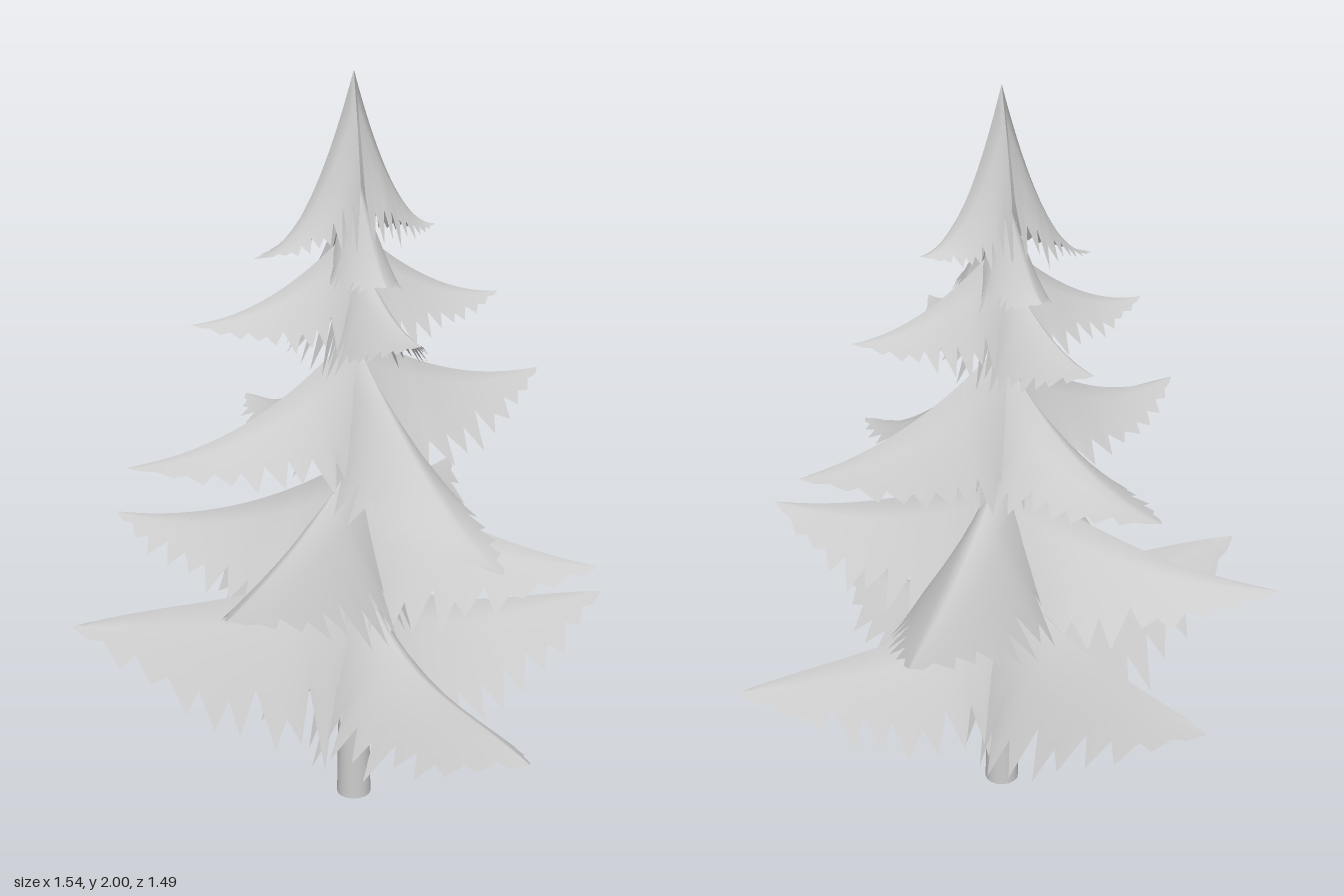
import * as THREE from 'three';

const bark = new THREE.MeshStandardMaterial({ color: 0xcccccc });
const needles = new THREE.MeshStandardMaterial({ color: 0xcccccc, side: THREE.DoubleSide });

// Small seeded generator for the ragged fringe
function seeded(seed) {
  let s = seed * 7919 + 17;
  return () => (s = (s * 16807) % 2147483647) / 2147483647;
}

// A tent-shaped bough: a ridge sweeps from the trunk to the tip, and two
// drooping sides end in a toothed fringe.
function boughGeometry({ apex, tip, low, width, bend, arch }, seed) {
  const rand = seeded(seed);
  const [tx, ty, tz] = tip;
  const length = Math.hypot(tx, tz);
  const dx = tx / length, dz = tz / length;
  const rows = 20, half = 4, cols = half * 2 + 1;
  const pos = [], index = [];
  for (let i = 0; i <= rows; i++) {
    const u = i / rows;
    const ridgeY = ty + (apex - ty) * (1 - u) ** bend + arch * Math.sin(Math.PI * u) * u;
    // fringe height eases from the low skirt at the trunk up to the tip
    const fringeY = low + (ty - low) * u ** 1.7;
    const w = width * (0.8 + 0.2 * Math.min(1, u * 4)) * (1 - u ** 2.6);
    const notch = [0, 1].map(() => (i % 2 ? 0.94 + rand() * 0.18 : 0.66 + rand() * 0.2));
    const lean = [0, 1].map(() => (i % 2 ? 0.05 : -0.01) * rand() * length * (1 - u));
    for (let j = -half; j <= half; j++) {
      const a = Math.abs(j) / half, side = j < 0 ? 0 : 1;
      const t = a * (1 - (1 - notch[side]) * a ** 3);
      const along = length * u + a * (0.03 * length * (1 - u) + a * lean[side]);
      const across = Math.sign(j) * w * t;
      const y = ridgeY + (fringeY - ridgeY) * t ** 1.15;
      pos.push(dx * along - dz * across, y, dz * along + dx * across);
    }
  }
  for (let i = 0; i < rows; i++) {
    for (let j = 0; j < cols - 1; j++) {
      const a = i * cols + j, b = a + 1, c = a + cols, d = c + 1;
      index.push(a, b, c, b, d, c);
    }
  }
  const geometry = new THREE.BufferGeometry();
  geometry.setAttribute('position', new THREE.Float32BufferAttribute(pos, 3));
  geometry.setIndex(index);
  geometry.computeVertexNormals();
  return geometry;
}

// Each whorl is a set of boughs sharing an apex on the trunk
const whorls = [
  { name: 'bottomSideBoughs', apex: 0.74, low: 0.25, width: 0.22, bend: 4, arch: 0.03,
    tips: [[0.77, 0.51, 0.0], [-0.77, 0.62, -0.01]] },
  { name: 'bottomFrontAndBackBoughs', apex: 0.73, low: 0.24, width: 0.22, bend: 4, arch: 0.03,
    tips: [[0.18, 0.44, 0.74], [-0.18, 0.55, -0.75]] },
  { name: 'lowerDiagonalBoughs', apex: 1.0, low: 0.6, width: 0.21, bend: 2, arch: 0.01,
    tips: [[0.49, 0.8, 0.47], [-0.49, 0.82, 0.53], [0.5, 0.8, -0.52], [-0.55, 0.74, -0.52]] },
  { name: 'middleSideBoughs', apex: 1.35, low: 0.99, width: 0.18, bend: 2.2, arch: 0,
    tips: [[0.62, 1.16, -0.17], [-0.64, 1.09, 0.17]] },
  { name: 'middleFrontBough', apex: 1.33, low: 0.95, width: 0.16, bend: 1.6, arch: 0,
    tips: [[0.12, 0.91, 0.69]] },
  { name: 'middleBackBough', apex: 1.33, low: 0.99, width: 0.17, bend: 2.2, arch: 0,
    tips: [[-0.14, 1.05, -0.57]] },
  { name: 'upperSideBoughs', apex: 1.62, low: 1.32, width: 0.12, bend: 1.9, arch: 0,
    tips: [[0.42, 1.42, -0.03], [-0.44, 1.4, 0.04]] },
  { name: 'upperFrontAndBackBoughs', apex: 1.58, low: 1.27, width: 0.12, bend: 2, arch: 0,
    tips: [[0.04, 1.38, 0.37], [-0.06, 1.37, -0.37]] },
  { name: 'crownFrontAndBackBoughs', apex: 1.78, low: 1.46, width: 0.1, bend: 1.5, arch: 0,
    tips: [[0.02, 1.49, 0.19], [-0.02, 1.5, -0.18]] },
  { name: 'crownSideBoughs', apex: 2.0, low: 1.58, width: 0.1, bend: 2, arch: 0,
    tips: [[0.23, 1.61, -0.02], [-0.27, 1.55, 0.02]] },
];

export function createModel() {
  const tree = new THREE.Group();
  tree.name = 'firTree';

  const trunk = new THREE.Mesh(new THREE.CylinderGeometry(0.015, 0.048, 1.75, 16), bark);
  trunk.name = 'trunk';
  trunk.position.y = 0.875;
  tree.add(trunk);

  let seed = 1;
  for (const { name, tips, ...shape } of whorls) {
    const whorl = new THREE.Group();
    whorl.name = name;
    for (const tip of tips) {
      const bough = new THREE.Mesh(boughGeometry({ ...shape, tip }, seed++), needles);
      bough.name = 'bough';
      whorl.add(bough);
    }
    tree.add(whorl);
  }
  return tree;
}
